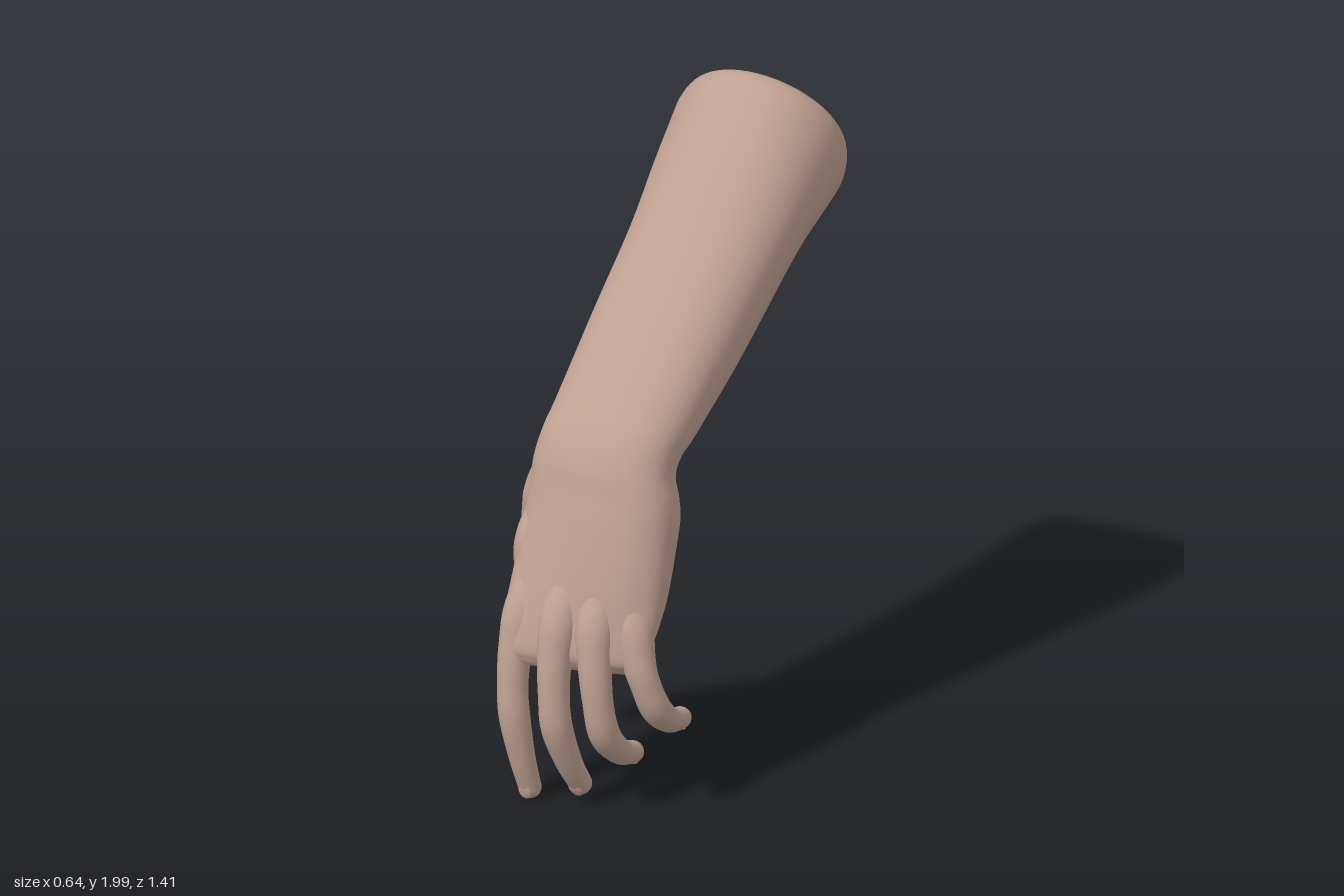
import * as THREE from 'three';

const skin = new THREE.MeshStandardMaterial({ color: 0xc0a192 });
const nailSkin = new THREE.MeshStandardMaterial({ color: 0xc5a596 });

// Smoothly resample rows of numbers (Catmull-Rom)
function resample(rows, steps) {
  const out = [], last = rows.length - 1;
  for (let i = 0; i < last; i++) {
    const a = rows[Math.max(i - 1, 0)], b = rows[i], c = rows[i + 1], d = rows[Math.min(i + 2, last)];
    for (let s = 0; s < steps; s++) {
      const t = s / steps;
      out.push(b.map((v, k) => v + 0.5 * t * (c[k] - a[k]
        + t * (2 * a[k] - 5 * v + 4 * c[k] - d[k] + t * (3 * (v - c[k]) + d[k] - a[k])))));
    }
  }
  out.push(rows[last]);
  return out;
}

// Closed skin over a list of rings of points, with both ends capped
function loft(name, rings) {
  const n = rings[0].length, m = rings.length, index = [];
  const centre = (r) => r.reduce((s, p) => s.add(p), new THREE.Vector3()).divideScalar(n);
  const pts = [...rings.flat(), centre(rings[0]), centre(rings[m - 1])];
  for (let j = 0; j < n; j++) {
    const k = (j + 1) % n;
    for (let i = 0; i < m - 1; i++) {
      const a = i * n + j, b = i * n + k;
      index.push(a, b, a + n, b, b + n, a + n);
    }
    index.push(m * n, k, j, m * n + 1, (m - 1) * n + j, (m - 1) * n + k);
  }
  const geo = new THREE.BufferGeometry().setFromPoints(pts);
  geo.setIndex(index);
  geo.computeVertexNormals();
  const mesh = new THREE.Mesh(geo, skin);
  mesh.name = name;
  return mesh;
}

// Forearm, wrist and palm: sections between a back-of-hand point and a palm point
function makeArm() {
  // back z, back y, palm z, palm y, x min, x max
  const rows = [
    [-0.56, 1.83, -0.615, 1.75, -0.05, 0.06],
    [-0.49, 1.94, -0.675, 1.66, -0.18, 0.19],
    [-0.42, 1.995, -0.705, 1.59, -0.255, 0.25],
    [-0.35, 1.985, -0.675, 1.508, -0.282, 0.275],
    [-0.28, 1.925, -0.56, 1.455, -0.272, 0.279],
    [-0.19, 1.835, -0.4, 1.395, -0.252, 0.279],
    [0, 1.625, -0.2, 1.28, -0.225, 0.265],
    [0.36, 1.25, 0.12, 1.065, -0.212, 0.235],
    [0.455, 1.15, 0.2, 1.02, -0.212, 0.225],
    [0.505, 1.06, 0.235, 0.985, -0.217, 0.23],
    [0.53, 0.98, 0.24, 0.93, -0.22, 0.25],
    [0.56, 0.89, 0.255, 0.85, -0.22, 0.262],
    [0.615, 0.7, 0.385, 0.65, -0.208, 0.272],
    [0.645, 0.53, 0.54, 0.515, -0.19, 0.262],
    [0.635, 0.48, 0.57, 0.475, -0.165, 0.24],
    [0.615, 0.458, 0.59, 0.458, -0.13, 0.2],
  ];
  const sides = 64;
  const rings = resample(rows, 7).map(([bz, by, pz, py, x0, x1]) => {
    // Rounder and slightly rolled at the elbow; hollowed palm, tilted to the little finger
    const elbow = THREE.MathUtils.smoothstep(by, 1.4, 1.95);
    const hollow = 0.1 * Math.exp(-(((by - 0.8) / 0.15) ** 2));
    const tilt = 0.05 * (1 - THREE.MathUtils.smoothstep(by, 0.45, 0.95));
    const round = (v) => Math.sign(v) * Math.abs(v) ** (0.87 + 0.13 * elbow);
    return Array.from({ length: sides }, (_, j) => {
      const a = (j / sides) * Math.PI * 2, c = round(Math.cos(a)), s = round(Math.sin(a));
      const cup = s < 0 ? hollow * (1 - c * c) ** 2 * -s : 0;
      return new THREE.Vector3(
        (x0 + x1) / 2 + (c * (x1 - x0)) / 2 + 0.03 * elbow * s,
        (by + py) / 2 + (s * (by - py)) / 2,
        (bz + pz) / 2 + (s * (bz - pz)) / 2 + cup - tilt * c);
    });
  });
  return loft('forearmAndPalm', rings);
}

// Tapered digit along points [x, y, z] with a rounded tip and a nail
function makeDigit(name, points, radii, nailSide) {
  const group = new THREE.Group();
  group.name = name;
  const rows = resample(points.map((p, i) => [...p, radii[i]]), 8), sides = 24, n = rows.length;
  const pos = rows.map((r) => new THREE.Vector3(r[0], r[1], r[2]));
  const frame = (i) => {
    const t = pos[Math.min(i + 1, n - 1)].clone().sub(pos[Math.max(i - 1, 0)]).normalize();
    const u = new THREE.Vector3(1, 0, 0).addScaledVector(t, -t.x).normalize();
    return { t, u, v: t.clone().cross(u) };
  };
  const ring = (p, r, { u, v }) => Array.from({ length: sides }, (_, j) => {
    const a = (j / sides) * Math.PI * 2;
    return p.clone().addScaledVector(u, r * Math.cos(a)).addScaledVector(v, r * Math.sin(a));
  });
  const rings = pos.map((p, i) => ring(p, rows[i][3], frame(i)));
  const end = frame(n - 1), tipR = rows[n - 1][3];
  for (let k = 1; k <= 7; k++) {
    const a = (k / 7.3) * Math.PI / 2;
    rings.push(ring(pos[n - 1].clone().addScaledVector(end.t, tipR * Math.sin(a)), tipR * Math.cos(a), end));
  }
  group.add(loft(name + 'Skin', rings));

  // Fingernail: flattened ellipsoid sunk into the back of the tip
  const nail = new THREE.Mesh(new THREE.SphereGeometry(1, 20, 12), nailSkin);
  nail.name = name + 'Nail';
  const out = end.u.clone().multiplyScalar(nailSide).addScaledVector(end.v, 1 - Math.abs(nailSide)).normalize();
  nail.quaternion.setFromRotationMatrix(new THREE.Matrix4().makeBasis(out.clone().cross(end.t), out, end.t));
  nail.scale.set(tipR * 0.62, tipR * 0.17, tipR * 0.75);
  nail.position.copy(pos[n - 1]).addScaledVector(out, tipR * 0.87).addScaledVector(end.t, -tipR * 0.1);
  group.add(nail);
  return group;
}

// Soft pad blending one part into another
function makePad(name, position, scale, tiltX, tiltZ) {
  const pad = new THREE.Mesh(new THREE.SphereGeometry(1, 40, 28), skin);
  pad.name = name;
  pad.position.set(...position);
  pad.scale.set(...scale);
  pad.rotation.set(tiltX, 0, tiltZ);
  return pad;
}

export function createModel() {
  const model = new THREE.Group();
  model.name = 'handAndForearm';
  model.add(makeArm());

  // Fingers start deep inside the palm, rise out at the knuckle and share one taper
  const taper = [0.67, 1, 0.86, 0.77, 0.78, 0.66, 0.57];
  const addFinger = (name, radius, points) =>
    model.add(makeDigit(name, points, taper.map((t) => t * radius), 0));
  addFinger('indexFinger', 0.06, [[-0.105, 0.82, 0.465], [-0.135, 0.63, 0.578], [-0.146, 0.5, 0.622],
    [-0.145, 0.38, 0.642], [-0.136, 0.28, 0.646], [-0.122, 0.15, 0.627], [-0.112, 0.045, 0.598]]);
  addFinger('middleFinger', 0.061, [[-0.01, 0.82, 0.48], [-0.003, 0.63, 0.598], [0, 0.5, 0.64],
    [0.007, 0.38, 0.656], [0.015, 0.28, 0.652], [0.027, 0.16, 0.606], [0.036, 0.075, 0.555]]);
  addFinger('ringFinger', 0.06, [[0.08, 0.82, 0.47], [0.105, 0.63, 0.575], [0.122, 0.5, 0.612],
    [0.137, 0.38, 0.62], [0.147, 0.27, 0.598], [0.15, 0.19, 0.52], [0.145, 0.158, 0.44]]);
  addFinger('littleFinger', 0.059, [[0.15, 0.82, 0.43], [0.2, 0.63, 0.52], [0.234, 0.51, 0.548],
    [0.258, 0.43, 0.545], [0.275, 0.35, 0.515], [0.276, 0.292, 0.445], [0.264, 0.267, 0.365]]);

  // Thumb, with its fleshy base and the web towards the index finger
  model.add(makeDigit('thumb', [[-0.11, 1.06, 0.4], [-0.145, 0.95, 0.36], [-0.168, 0.86, 0.342], [-0.215, 0.76, 0.32],
    [-0.252, 0.67, 0.29], [-0.265, 0.55, 0.258], [-0.268, 0.43, 0.238]],
  [0.05, 0.098, 0.112, 0.089, 0.068, 0.057, 0.038], -0.7));
  model.add(makePad('thumbMound', [-0.105, 0.87, 0.365], [0.125, 0.19, 0.115], -0.2, -0.15));
  model.add(makePad('thumbWeb', [-0.165, 0.78, 0.42], [0.07, 0.16, 0.13], -0.5, -0.1));
  return model;
}
